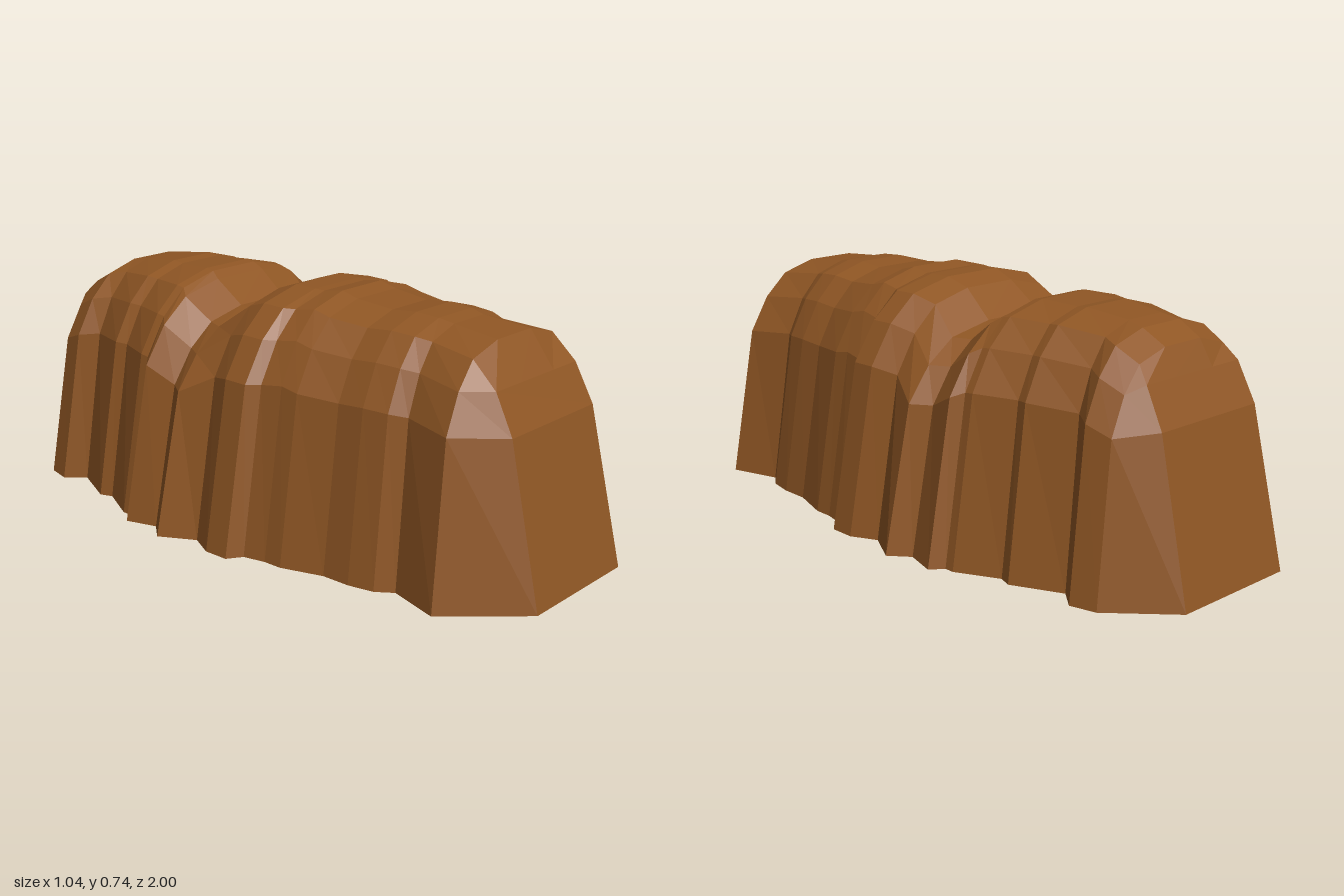
import * as THREE from 'three';

// Ribs along the body: [z at the base, half width at the base, height]
const RIBS = [
  [-0.83, 0.37, 0.66], [-0.75, 0.39, 0.70], [-0.69, 0.34, 0.71], [-0.54, 0.41, 0.725],
  [-0.50, 0.395, 0.72], [-0.37, 0.46, 0.725], [-0.34, 0.46, 0.72], [-0.31, 0.50, 0.70],
  [-0.21, 0.47, 0.63], [-0.15, 0.52, 0.63], [-0.04, 0.46, 0.71], [0.04, 0.50, 0.735],
  [0.12, 0.50, 0.733], [0.15, 0.455, 0.73], [0.22, 0.44, 0.74], [0.28, 0.44, 0.725],
  [0.41, 0.40, 0.712], [0.50, 0.40, 0.72], [0.58, 0.385, 0.715], [0.63, 0.35, 0.705],
  [0.79, 0.40, 0.69],
];

// Half arch as fractions: [width, height, z taper]
const ARCH = [[1, 0, 1], [0.81, 0.69, 0.97], [0.66, 0.85, 0.96], [0.48, 0.955, 0.95], [0.2, 1, 0.95]];

// Half outline of the narrow sloping end face: [x, y, z]
const END = [[0.21, 0, 1], [0.2, 0.47, 0.89], [0.195, 0.585, 0.83], [0.195, 0.585, 0.83], [0.08, 0.585, 0.83]];

// Full section from the left foot over the top to the right foot
const mirror = (half) => [...half, ...half.map(([x, y, z]) => [-x, y, z]).reverse()];

function loafGeometry() {
  const rings = [
    mirror(END.map(([x, y, z]) => [x, y, -z])),
    ...RIBS.map(([z, w, h]) => mirror(ARCH.map(([fx, fy, fz]) => [fx * w, fy * h, fz * z]))),
    mirror(END),
  ];
  const positions = [];
  const quad = (a, b, c, d) => positions.push(...a, ...b, ...c, ...a, ...c, ...d);

  // Sides, top and underside
  for (let i = 0; i < rings.length - 1; i++) {
    const p = rings[i], q = rings[i + 1];
    for (let j = 0; j < 10; j++) {
      const k = (j + 1) % 10;
      quad(p[j], p[k], q[k], q[j]);
    }
  }
  // Sloping end faces
  const back = rings[0], front = rings[rings.length - 1];
  for (let k = 0; k < 2; k++) {
    quad(front[k], front[k + 1], front[8 - k], front[9 - k]);
    quad(back[9 - k], back[8 - k], back[k + 1], back[k]);
  }

  const geometry = new THREE.BufferGeometry();
  geometry.setAttribute('position', new THREE.Float32BufferAttribute(positions, 3));
  geometry.computeVertexNormals();
  return geometry;
}

export function createModel() {
  const group = new THREE.Group();
  group.name = 'ribbedMound';
  const brown = new THREE.MeshStandardMaterial({ color: 0x8f5624, flatShading: true });
  brown.name = 'brown';
  const body = new THREE.Mesh(loafGeometry(), brown);
  body.name = 'body';
  group.add(body);
  return group;
}
